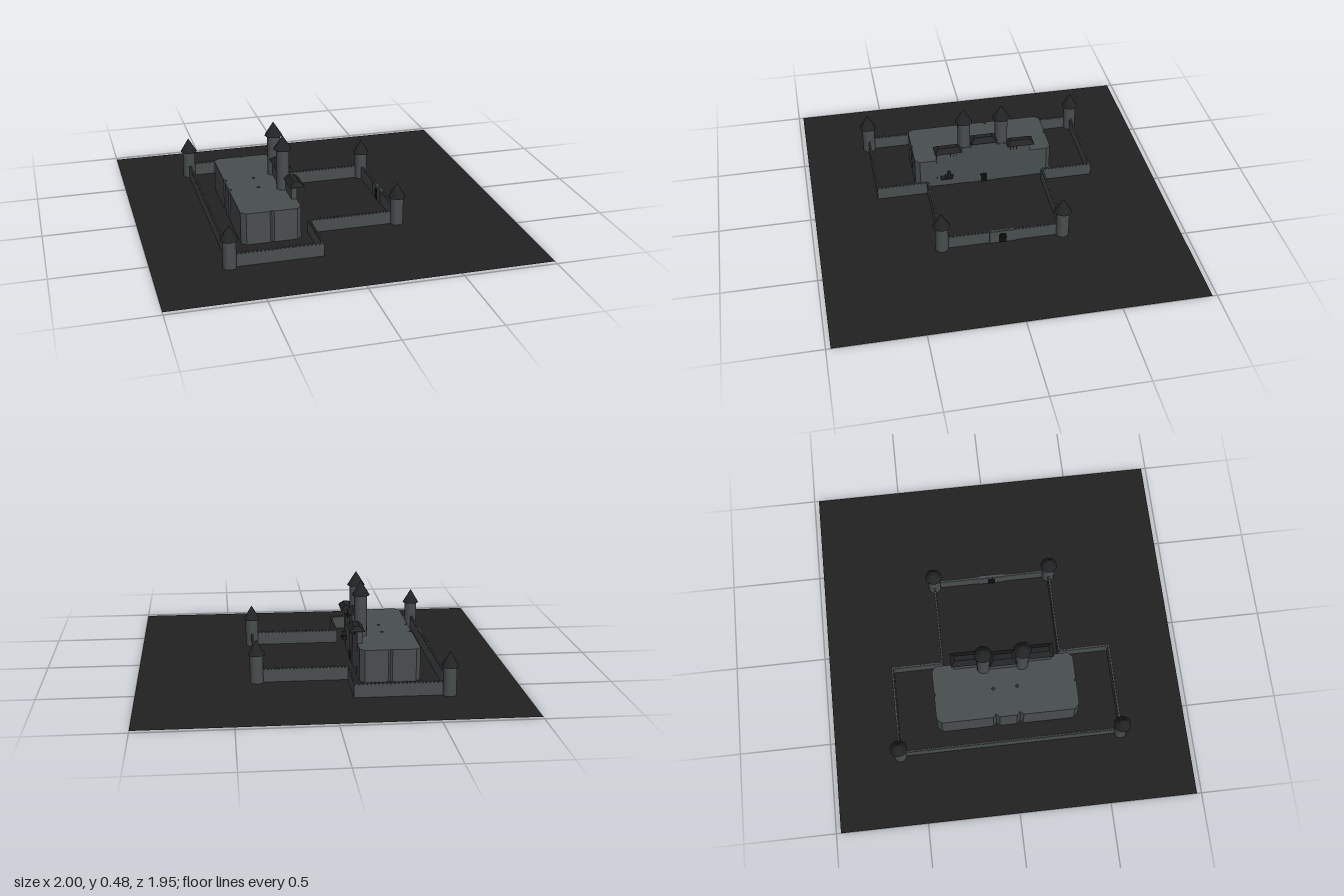
import * as THREE from 'three';
import { mergeGeometries } from 'three/addons/utils/BufferGeometryUtils.js';

const mat = (name, color, side = THREE.FrontSide) => {
  const m = new THREE.MeshStandardMaterial({ color, side });
  m.name = name;
  return m;
};

export function createModel() {
  const ground = mat('dark ground', 0x222222, THREE.DoubleSide);
  const stone = mat('grey stone', 0x494e4f);
  const slate = mat('dark slate', 0x222324);
  const opening = mat('black opening', 0x0c0d0d);

  const model = new THREE.Group();
  model.name = 'castle';
  const castle = new THREE.Group();
  castle.name = 'castleBuildings';
  castle.position.z = -0.006;
  model.add(castle);

  const add = (name, geo, material, parent = castle) => {
    const m = new THREE.Mesh(geo, material);
    m.name = name;
    parent.add(m);
    return m;
  };
  // Box given by its limits on each axis
  const box = (x0, x1, y0, y1, z0, z1) =>
    new THREE.BoxGeometry(x1 - x0, y1 - y0, z1 - z0)
      .translate((x0 + x1) / 2, (y0 + y1) / 2, (z0 + z1) / 2);

  // Ground
  const plane = new THREE.PlaneGeometry(2, 1.95).rotateX(-Math.PI / 2);
  add('ground', plane, ground, model).position.y = 0.001;

  // Round tower with a pointed roof
  const tower = (name, x, z, r, bodyTop, tip, roofR) => {
    const g = new THREE.Group();
    g.name = name;
    g.position.set(x, 0, z);
    castle.add(g);
    add('towerBody', new THREE.CylinderGeometry(r, r, bodyTop, 16).translate(0, bodyTop / 2, 0), stone, g);
    const h = tip - bodyTop + 0.005;
    add('towerRoof', new THREE.ConeGeometry(roofR, h, 12).translate(0, tip - h / 2, 0), slate, g);
  };
  for (const s of [-1, 1]) {
    tower('rearCornerTower', -0.607, s * 0.613, 0.036, 0.16, 0.235, 0.047);
    tower('frontCornerTower', 0.37, s * 0.331, 0.036, 0.16, 0.235, 0.047);
    tower('keepTower', -0.208, s * 0.107, 0.036, 0.41, 0.483, 0.049);
  }

  // Curtain wall with small battlements, following a stepped outline
  const wallTop = 0.07, t = 0.006;
  const outline = [
    [-0.607, -0.613], [-0.12, -0.613], [-0.12, -0.331], [0.37, -0.331],
    [0.37, 0.331], [-0.12, 0.331], [-0.12, 0.613], [-0.607, 0.613],
  ];
  const walls = [], teeth = [];
  outline.forEach(([ax, az], i) => {
    const [bx, bz] = outline[(i + 1) % outline.length];
    walls.push(box(Math.min(ax, bx) - t, Math.max(ax, bx) + t, 0, wallTop,
      Math.min(az, bz) - t, Math.max(az, bz) + t));
    const n = Math.round(Math.hypot(bx - ax, bz - az) / 0.02);
    for (let k = 0; k < n; k++) {
      const f = (k + 0.5) / n;
      const x = ax + (bx - ax) * f, z = az + (bz - az) * f;
      teeth.push(box(x - t, x + t, wallTop, wallTop + 0.008, z - t, z + t));
    }
  });
  add('curtainWall', mergeGeometries(walls), stone);
  add('battlements', mergeGeometries(teeth), stone);

  // Gate in the front wall
  add('gatehouse', box(0.361, 0.381, 0, 0.076, -0.072, 0.072), stone);
  const arch = new THREE.Shape();
  arch.moveTo(-0.021, 0);
  arch.lineTo(0.021, 0);
  arch.lineTo(0.021, 0.04);
  arch.absarc(0, 0.04, 0.021, 0, Math.PI, false);
  const gate = new THREE.ExtrudeGeometry(arch, { depth: 0.024, bevelEnabled: false, curveSegments: 8 });
  add('gate', gate.translate(0, 0.002, -0.012).rotateY(Math.PI / 2).translate(0.371, 0, 0), opening);

  // Keep: six blocks with cut corners, leaving notches where they meet
  const block = (x0, x1, z0, z1, c, h) => {
    const s = new THREE.Shape();
    const [cx0z0, cx1z0, cx1z1, cx0z1] = c;
    s.moveTo(x0 + cx0z0, -z0);
    s.lineTo(x0, -z0 - cx0z0);
    s.lineTo(x0, -z1 + cx0z1);
    s.lineTo(x0 + cx0z1, -z1);
    s.lineTo(x1 - cx1z1, -z1);
    s.lineTo(x1, -z1 + cx1z1);
    s.lineTo(x1, -z0 - cx1z0);
    s.lineTo(x1 - cx1z0, -z0);
    return new THREE.ExtrudeGeometry(s, { depth: h, bevelEnabled: false }).rotateX(-Math.PI / 2);
  };
  const a = 0.026, b = 0.011, H = 0.178, xm = -0.334;
  add('keepBlocks', mergeGeometries([
    block(-0.498, xm, -0.392, -0.066, [a, b, b, 0.018], H),
    block(xm, -0.172, -0.392, -0.066, [b, a, 0.001, b], H),
    block(-0.498, xm, -0.066, 0.066, [0.018, b, b, 0.018], H),
    block(xm, -0.172, -0.066, 0.066, [b, 0.001, 0.001, b], H),
    block(-0.498, xm, 0.066, 0.392, [0.018, b, b, a], H),
    block(xm, -0.172, 0.066, 0.392, [b, 0.001, a, b], H),
  ]), stone);

  // Tall facade: a centre bay and two lower wings
  add('facadeCentre', box(-0.222, -0.167, 0, 0.28, -0.074, 0.074), stone);
  for (const s of [-1, 1]) {
    const [z0, z1] = s < 0 ? [-0.27, -0.07] : [0.07, 0.27];
    add('facadeWing', box(-0.2, -0.17, 0, 0.248, z0, z1), stone);
  }

  // Hipped roof with a flat ridge, narrowing toward the top
  const hipRoof = (name, x, z, w, d, y, h) => {
    const g = new THREE.BoxGeometry(w, h, d).toNonIndexed();
    const p = g.attributes.position;
    for (let i = 0; i < p.count; i++) {
      if (p.getY(i) > 0) {
        p.setX(i, p.getX(i) * 0.35);
        p.setZ(i, p.getZ(i) - Math.sign(p.getZ(i)) * 0.024);
      }
    }
    g.computeVertexNormals();
    add(name, g.translate(x, y + h / 2, z), slate);
  };
  hipRoof('centreRoof', -0.196, 0, 0.088, 0.15, 0.275, 0.024);
  for (const s of [-1, 1]) hipRoof('wingRoof', -0.17, s * 0.207, 0.082, 0.155, 0.247, 0.024);

  // Slit windows and the keep door
  const slits = [];
  for (const s of [-1, 1]) for (const o of [0.155, 0.172, 0.19]) {
    slits.push(box(-0.171, -0.168, 0.198, 0.226, s * o - 0.002, s * o + 0.002));
  }
  add('slitWindows', mergeGeometries(slits), opening);
  add('keepDoor', box(-0.168, -0.164, 0.002, 0.055, -0.018, 0.018), opening);

  // Small dark balcony on the left wing
  add('balcony', mergeGeometries([
    box(-0.172, -0.142, 0.058, 0.068, 0.185, 0.25),
    box(-0.164, -0.147, 0.068, 0.104, 0.196, 0.21),
    box(-0.162, -0.148, 0.068, 0.08, 0.18, 0.225),
  ]), slate);

  return model;
}
